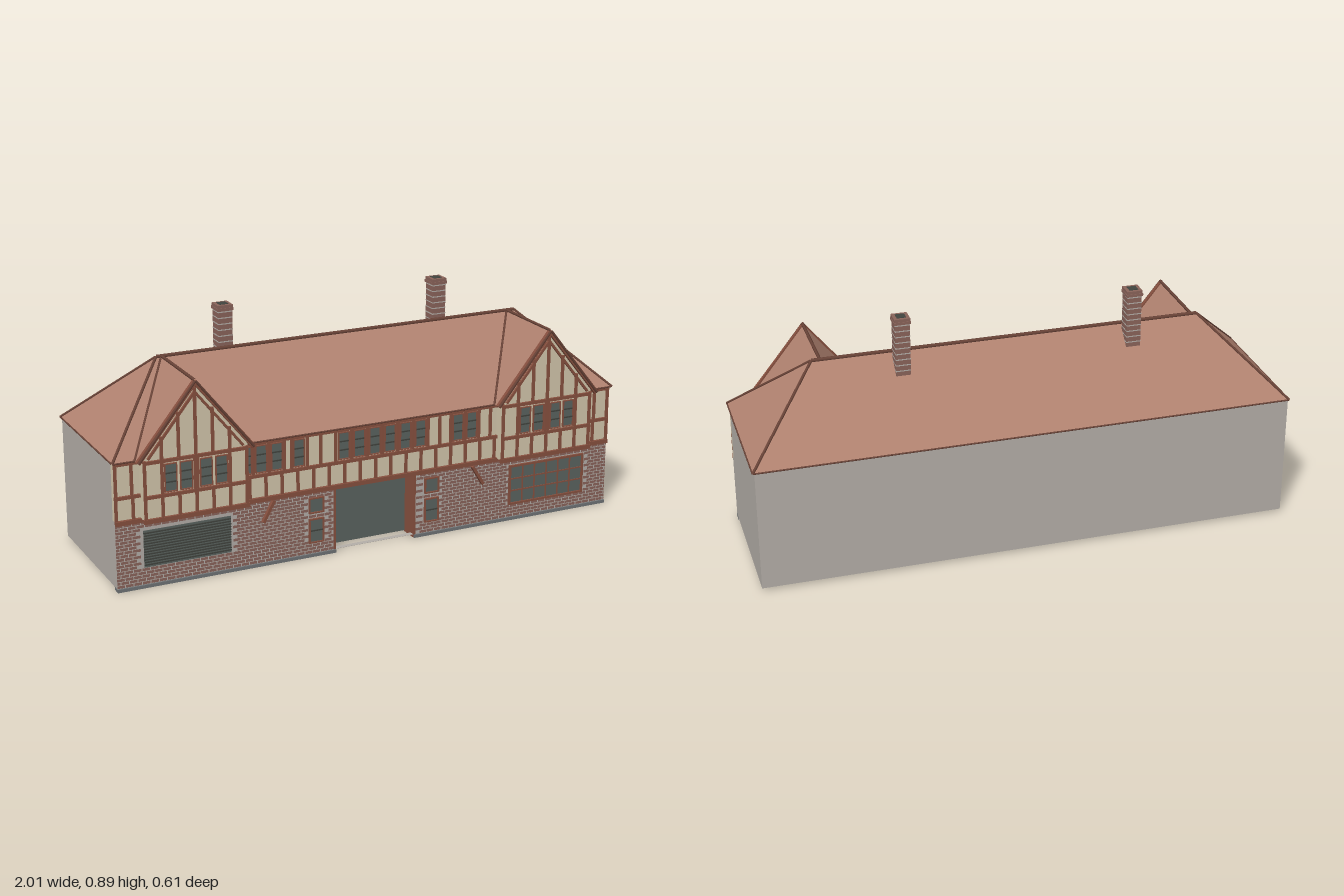
import * as THREE from 'three';
import { mergeGeometries } from 'three/addons/utils/BufferGeometryUtils.js';

const mat = (name, color, side = THREE.FrontSide) => {
  const m = new THREE.MeshStandardMaterial({ color, side });
  m.name = name;
  return m;
};

export function createModel() {
  const root = new THREE.Group();
  root.name = 'timberFramedHouse';
  const M = {
    render: mat('grey render', 0xb4aea8),
    brick: mat('brick', 0x8a645a),
    plaster: mat('cream plaster', 0xd4c7ac),
    timber: mat('red brown timber', 0x87503f),
    glass: mat('dark glass', 0x5b635f),
    lead: mat('window bars', 0x41443f),
    tile: mat('roof tile', 0xb18270, THREE.DoubleSide),
    ridge: mat('ridge tile', 0x6a4438),
    plinth: mat('plinth stone', 0x6f7375),
  };

  // Boxes given by their bounds are gathered per part and merged
  const parts = new Map();
  const add = (name, m, geo) => {
    if (!parts.has(name)) parts.set(name, { m, list: [] });
    parts.get(name).list.push(geo);
  };
  const box = (name, m, x0, x1, y0, y1, z0, z1) =>
    add(name, m, new THREE.BoxGeometry(x1 - x0, y1 - y0, z1 - z0)
      .translate((x0 + x1) / 2, (y0 + y1) / 2, (z0 + z1) / 2));
  // Flat board between two points in a plane facing +z
  const board = (name, m, a, b, w, z0, z1) => {
    const dx = b[0] - a[0], dy = b[1] - a[1];
    add(name, m, new THREE.BoxGeometry(Math.hypot(dx, dy), w, z1 - z0)
      .rotateZ(Math.atan2(dy, dx))
      .translate((a[0] + b[0]) / 2, (a[1] + b[1]) / 2, (z0 + z1) / 2));
  };
  // Capping tiles along a line in space
  const capping = (name, a, b, r) => add(name, M.ridge, new THREE.TubeGeometry(
    new THREE.LineCurve3(new THREE.Vector3(...a), new THREE.Vector3(...b)), 1, r, 6));
  const rectPath = (x0, x1, y0, y1, C = THREE.Path) => new C(
    [[x0, y0], [x1, y0], [x1, y1], [x0, y1]].map(p => new THREE.Vector2(...p)));

  // Window with glass, frame and glazing bars
  const glazing = (name, x0, x1, y0, y1, z, cols, rows, frame, bars = M.lead) => {
    box(name + 'Glass', M.glass, x0, x1, y0, y1, z - 0.022, z + 0.002);
    const t = 0.0025;
    for (let i = 1; i < cols; i++) {
      const x = x0 + (x1 - x0) * i / cols;
      box(name + 'Bars', bars, x - t, x + t, y0, y1, z, z + 0.005);
    }
    for (let i = 1; i < rows; i++) {
      const y = y0 + (y1 - y0) * i / rows;
      box(name + 'Bars', bars, x0, x1, y - t, y + t, z, z + 0.005);
    }
    if (!frame) return;
    const f = frame;
    box(name + 'Frame', M.timber, x0 - f, x1 + f, y1, y1 + f, z, z + 0.008);
    box(name + 'Frame', M.timber, x0 - f, x1 + f, y0 - f, y0, z, z + 0.008);
    box(name + 'Frame', M.timber, x0 - f, x0, y0, y1, z, z + 0.008);
    box(name + 'Frame', M.timber, x1, x1 + f, y0, y1, z, z + 0.008);
  };

  const W = 0.994, EAVE = 0.475, TOP = 0.742, RZ = -0.02, RX = 0.728, FZ = 0.265, BZ = -0.3;

  // Rendered back and side walls, open underneath
  box('backWall', M.render, -W, W, 0.012, EAVE, BZ, BZ + 0.01);
  for (const s of [-1, 1]) {
    const x = s * (W - 0.005);
    box('sideWalls', M.render, x - 0.005, x + 0.005, 0.012, EAVE, BZ + 0.01, 0.23);
  }

  // Ground floor front wall with openings
  const openings = [[-0.16, 0.16, 0, 0.245], [-0.893, -0.568, 0.075, 0.212], [0.57, 0.882, 0.07, 0.212]];
  for (const x of [-0.237, 0.232]) openings.push(
    [x - 0.025, x + 0.025, 0.172, 0.222], [x - 0.025, x + 0.025, 0.058, 0.142]);
  const wall = rectPath(-W, W, 0.012, 0.26, THREE.Shape);
  openings.forEach(([a, b, c, d]) => wall.holes.push(rectPath(a, b, Math.max(c, 0.013), d)));
  add('groundFloorWall', M.render,
    new THREE.ExtrudeGeometry(wall, { depth: 0.02, bevelEnabled: false }).translate(0, 0, 0.23));

  // Brick facing in staggered courses, kept clear of the openings
  const course = 0.0124, pitch = 0.031;
  for (let r = 0; r < 20; r++) {
    const y0 = 0.0135 + r * course, y1 = y0 + 0.0098;
    for (let i = -1; i < 65; i++) {
      const x0 = Math.max(-W, -W + (i + (r % 2) / 2) * pitch), x1 = Math.min(W, -W + (i + (r % 2) / 2) * pitch + 0.0275);
      if (x1 - x0 < 0.004) continue;
      if (openings.some(o => x1 > o[0] && x0 < o[1] && y1 > o[2] && y0 < o[3])) continue;
      add('brickFacing', M.brick, new THREE.PlaneGeometry(x1 - x0, y1 - y0)
        .translate((x0 + x1) / 2, (y0 + y1) / 2, 0.2512));
    }
  }

  // Plinth and recessed entrance
  for (const s of [-1, 1]) {
    box('plinth', M.plinth, s < 0 ? -W : 0.16, s < 0 ? -0.16 : W, 0, 0.012, 0.222, 0.257);
    box('entranceJambs', M.timber, s * 0.163 - 0.004, s * 0.163 + 0.004, 0, 0.25, 0.178, 0.2515);
  }
  box('entranceHead', M.timber, -0.16, 0.16, 0.243, 0.25, 0.178, 0.25);
  box('entranceDoor', M.glass, -0.16, 0.16, 0.004, 0.245, 0.172, 0.18);

  // Ground floor windows
  openings.slice(3).forEach(([a, b, c, d]) => glazing('smallWindow', a, b, c, d, 0.25, 1, d - c > 0.06 ? 2 : 1, 0.005));
  glazing('shopWindow', 0.57, 0.882, 0.07, 0.212, 0.25, 6, 3, 0.008, M.timber);
  glazing('shutter', -0.893, -0.568, 0.075, 0.212, 0.25, 1, 14, 0);

  // Diagonal braces under the upper floor
  board('braces', M.timber, [-0.447, 0.168], [-0.405, 0.245], 0.011, 0.25, 0.265);
  board('braces', M.timber, [0.447, 0.168], [0.4, 0.245], 0.011, 0.25, 0.265);

  // Upper floor front wall with timber frame
  box('upperWall', M.plaster, -W, W, 0.26, EAVE, 0.23, 0.25);
  const post = (x, y0, y1, z, w = 0.005) => box('posts', M.timber, x - w, x + w, y0, y1, z, z + 0.008);
  const beam = (x0, x1, y, h, z, d = 0.009) => box('beams', M.timber, x0, x1, y - h, y + h, z, z + d);
  beam(-W, W, 0.255, 0.008, 0.25, 0.012);
  beam(-W, W, 0.345, 0.006, 0.25);
  beam(-W, W, 0.468, 0.007, 0.25);
  for (let i = 0; i <= 32; i++) post(-W + 0.005 + i * (2 * W - 0.01) / 32, 0.26, 0.345, 0.25);
  for (const x of [-0.48, -0.42, -0.361, -0.332, -0.272, -0.22, -0.16, -0.097, -0.035, 0.026, 0.089,
    0.151, 0.213, 0.262, 0.308, 0.367, 0.426, 0.475, 0.93, 0.988, -0.93, -0.988]) post(x, 0.345, EAVE, 0.25);
  for (const x of [-0.508, -0.45, -0.39, -0.305, -0.128, -0.066, -0.004, 0.057, 0.12, 0.182, 0.338, 0.396])
    glazing('upperWindow', x - 0.019, x + 0.019, 0.358, 0.455, 0.25, 1, 3, 0.003);

  // Two gabled bays
  const slopes = [];
  for (const cx of [-0.707, 0.697]) {
    const h = 0.193, z = 0.286, H = 0.212, g = 0.726;
    const front = new THREE.Shape([[-h, 0.26], [h, 0.26], [h, EAVE + 0.012], [0, g], [-h, EAVE + 0.012]]
      .map(p => new THREE.Vector2(cx + p[0], p[1])));
    add('bayWall', M.plaster, new THREE.ExtrudeGeometry(front, { depth: z - 0.25, bevelEnabled: false }).translate(0, 0, 0.25));
    beam(cx - h - 0.004, cx + h + 0.004, 0.259, 0.008, z, 0.01);
    beam(cx - h, cx + h, 0.345, 0.006, z);
    beam(cx - h, cx + h, 0.47, 0.006, z);
    for (let i = -3; i <= 3; i++) {
      const x = cx + i * 0.0625;
      post(x, 0.26, 0.345, z);
      if (Math.abs(i) !== 1) post(x, 0.345, EAVE, z, i ? 0.005 : 0.009);
      post(x, EAVE, g - Math.abs(i) * 0.0625 * 1.27 - 0.01, z);
    }
    for (const d of [-0.0935, -0.0365, 0.0365, 0.0935])
      glazing('bayWindow', cx + d - 0.02, cx + d + 0.02, 0.358, 0.455, z, 1, 3, 0.003);
    for (const s of [-1, 1]) {
      // Bargeboard and the rafter behind it
      board('bargeboards', M.timber, [cx + s * H, 0.474], [cx, TOP - 0.006], 0.016, z, 0.3);
      board('rafters', M.timber, [cx + s * 0.175, 0.482], [cx, 0.7], 0.009, z, z + 0.008);
      const e = [cx + s * H, EAVE, 0.301], a = [cx, TOP, 0.301], k = [cx, TOP, RZ], v = [cx + s * H, EAVE, FZ];
      slopes.push(s < 0 ? [e, a, k, v] : [e, v, k, a]);
      capping('valleyTiles', v, k, 0.005);
      capping('vergeTiles', e, a, 0.005);
    }
    capping('gableRidge', [cx, TOP, 0.301], [cx, TOP, RZ], 0.006);
  }

  // Hipped main roof and the bay slopes, each a flat polygon
  const fl = [-1, EAVE, FZ], fr = [1, EAVE, FZ], bl = [-1, EAVE, BZ], br = [1, EAVE, BZ];
  const rl = [-RX, TOP, RZ], rr = [RX, TOP, RZ];
  const roof = (name, faces) => faces.forEach(f => {
    const tris = f.length === 4 ? [f[0], f[1], f[2], f[0], f[2], f[3]] : f;
    const geo = new THREE.BufferGeometry();
    geo.setAttribute('position', new THREE.Float32BufferAttribute(tris.flat(), 3));
    geo.computeVertexNormals();
    add(name, M.tile, geo);
  });
  roof('mainRoof', [[fl, fr, rr, rl], [br, bl, rl, rr], [fr, br, rr], [bl, fl, rl]]);
  roof('bayRoofs', slopes);
  capping('mainRidge', rl, rr, 0.007);
  for (const [a, b] of [[fl, rl], [bl, rl], [fr, rr], [br, rr]]) capping('hipTiles', a, b, 0.005);
  for (const [a, b] of [[fl, fr], [bl, br], [fl, bl], [fr, br]]) capping('eaves', a, b, 0.003);

  // Chimneys with mortar courses and a hollow cap
  for (const x of [-0.455, 0.411]) {
    const z = -0.065, around = (name, m, r, y0, y1) => box(name, m, x - r, x + r, y0, y1, z - r, z + r);
    around('chimneyStacks', M.brick, 0.027, 0.66, 0.88);
    for (let y = 0.69; y < 0.87; y += 0.022) around('chimneyMortar', M.render, 0.0276, y, y + 0.004);
    around('chimneyCaps', M.brick, 0.031, 0.872, 0.882);
    around('chimneyCaps', M.brick, 0.029, 0.882, 0.893);
    around('chimneyFlues', M.lead, 0.017, 0.88, 0.8945);
  }

  for (const [name, { m, list }] of parts) {
    const mesh = new THREE.Mesh(mergeGeometries(list.map(g => {
      const n = g.index ? g.toNonIndexed() : g;
      n.deleteAttribute('uv');
      return n;
    })), m);
    mesh.name = name;
    root.add(mesh);
  }
  return root;
}
